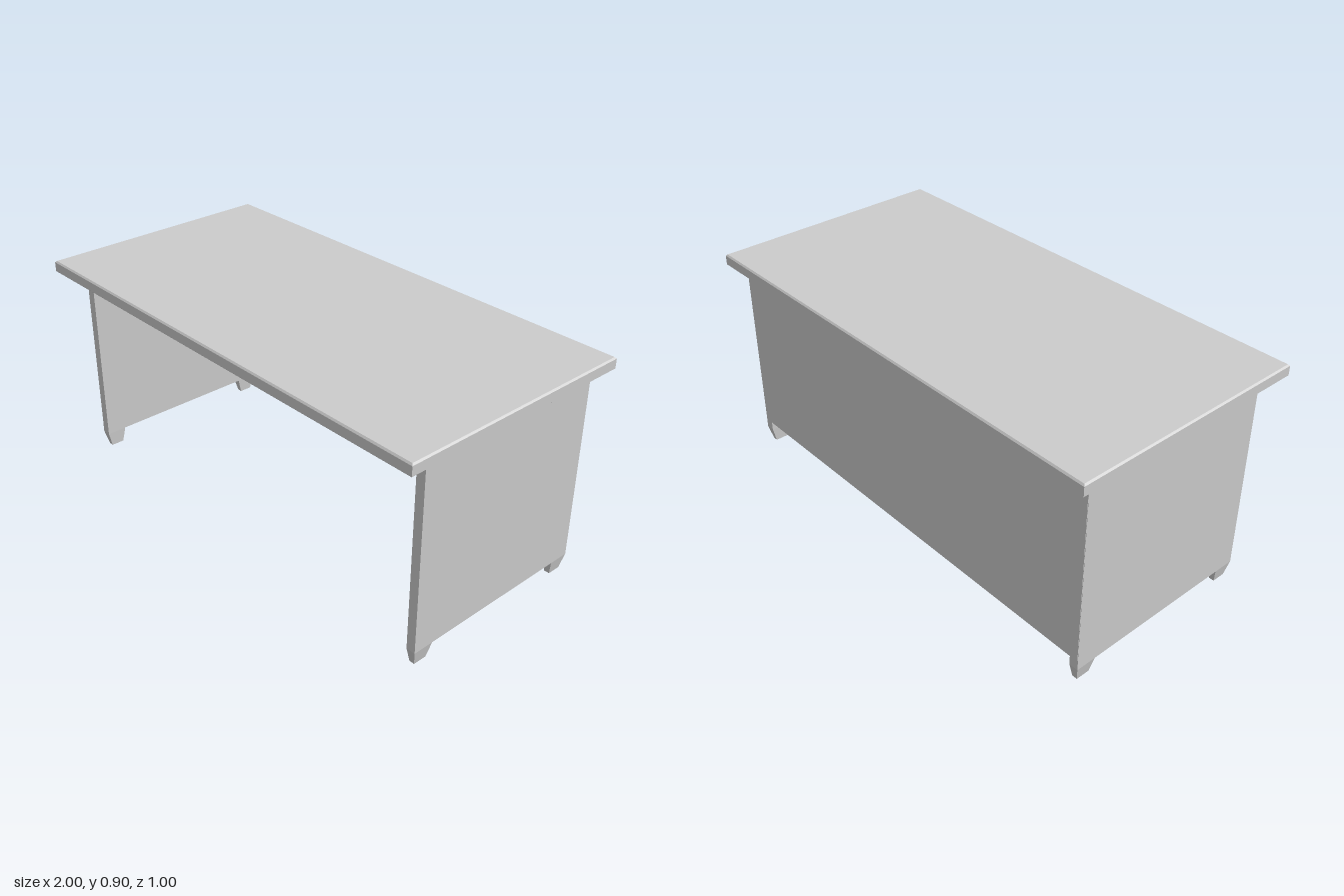
import * as THREE from 'three';

const material = new THREE.MeshStandardMaterial({ color: 0xcccccc, flatShading: true });

function add(parent, name, geometry, x, y, z) {
  const mesh = new THREE.Mesh(geometry, material);
  mesh.name = name;
  mesh.position.set(x, y, z);
  parent.add(mesh);
  return mesh;
}

// Box given by its lower and upper limits on each axis
function addBox(parent, name, [x0, x1], [y0, y1], [z0, z1]) {
  return add(parent, name, new THREE.BoxGeometry(x1 - x0, y1 - y0, z1 - z0),
    (x0 + x1) / 2, (y0 + y1) / 2, (z0 + z1) / 2);
}

// Slab with chamfered edges and corners
function slabGeometry(width, height, depth, c) {
  const w = width / 2 - c, d = depth / 2 - c;
  const shape = new THREE.Shape([
    [-w, -d], [w, -d], [w, d], [-w, d],
  ].map(([x, y]) => new THREE.Vector2(x, y)));
  const geometry = new THREE.ExtrudeGeometry(shape, {
    depth: height - 2 * c, bevelEnabled: true, bevelThickness: c, bevelSize: c, bevelSegments: 1,
  });
  return geometry.rotateX(-Math.PI / 2).translate(0, c, 0);
}

// Foot that narrows to the floor, more on its outer side (outer = +1 or -1)
function footGeometry(width, height, depth, outer) {
  const geometry = new THREE.BoxGeometry(width, height, depth);
  const p = geometry.attributes.position;
  for (let i = 0; i < p.count; i++) {
    if (p.getY(i) > 0) continue;
    const sx = Math.sign(p.getX(i)), sz = Math.sign(p.getZ(i));
    p.setX(i, p.getX(i) - sx * (sx === outer ? 0.013 : 0.003));
    p.setZ(i, p.getZ(i) - sz * 0.015);
  }
  geometry.computeVertexNormals();
  return geometry;
}

export function createModel() {
  const desk = new THREE.Group();
  desk.name = 'desk';

  add(desk, 'desktop', slabGeometry(2, 0.05, 1, 0.006), 0, 0.854, 0);

  // Side panels, each on two tapered feet
  const front = 0.38, back = -0.44, footTop = 0.064, footDepth = 0.086, thickness = 0.038;
  for (const [name, x, outer] of [['right', -0.948, -1], ['left', 0.928, 1]]) {
    const side = new THREE.Group();
    side.name = name + 'Side';
    desk.add(side);
    addBox(side, name + 'Panel', [x - thickness / 2, x + thickness / 2], [footTop, 0.856], [back, front]);
    const foot = footGeometry(thickness, footTop, footDepth, outer);
    add(side, name + 'FrontFoot', foot, x, footTop / 2, front - footDepth / 2);
    add(side, name + 'BackFoot', foot, x, footTop / 2, back + footDepth / 2);
  }

  // Back panel, covering the rear edge of one side and meeting the other
  addBox(desk, 'backPanel', [-0.966, 0.915], [0.105, 0.856], [back - 0.002, back + 0.033]);

  return desk;
}
